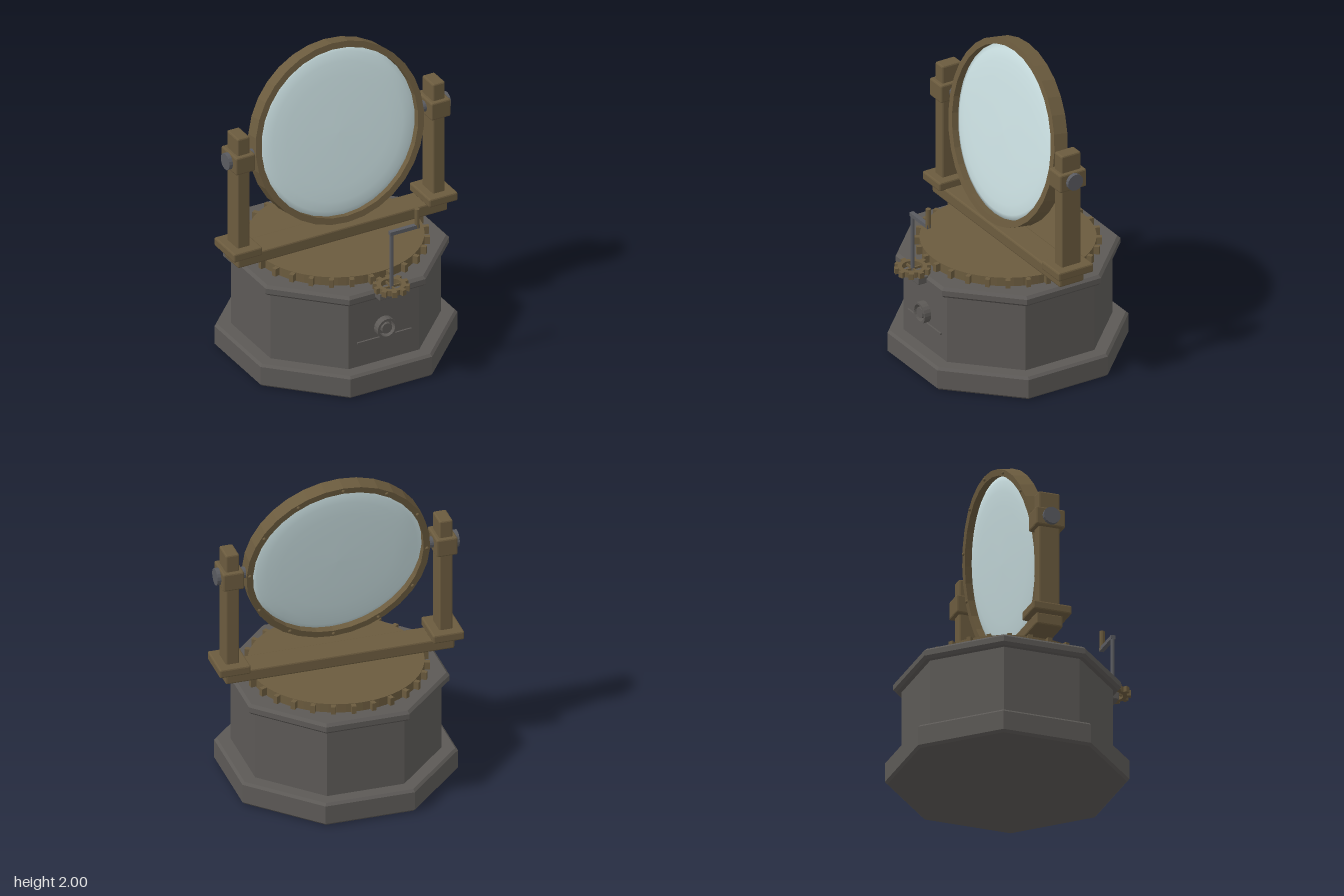
import * as THREE from 'three';
import { RoundedBoxGeometry } from 'three/addons/geometries/RoundedBoxGeometry.js';

const CZ = -0.052; // z of the turning axis
const PIVOT_Y = 1.43;

export function createModel() {
  const mat = (name, color, flat = true) => {
    const m = new THREE.MeshStandardMaterial({ color });
    m.name = name;
    m.flatShading = flat;
    return m;
  };
  const stone = mat('stone', 0x5c5956);
  const bronze = mat('bronze', 0x6b5b3e);
  const steel = mat('steel', 0x5a5b60);
  const glass = mat('glass', 0xc9dee0, false);

  const model = new THREE.Group();
  model.name = 'swivelMirror';
  const add = (name, geo, material, x = 0, y = 0, z = 0, parent = model) => {
    const mesh = new THREE.Mesh(geo, material);
    mesh.name = name;
    mesh.position.set(x, y, z);
    parent.add(mesh);
    return mesh;
  };
  const lathe = (pts, sides, start = 0) =>
    new THREE.LatheGeometry(pts.map(p => new THREE.Vector2(p[0], p[1])), sides, start);
  const box = (w, h, d, r = 0.01) => new RoundedBoxGeometry(w, h, d, 1, r);

  // Octagonal pedestal, chamfered top and bottom edges
  const octagon = (name, apothem, y0, y1, b) => {
    const k = 1 / Math.cos(Math.PI / 8), r = apothem * k, s = (apothem - b) * k;
    add(name, lathe([[0, y0], [s, y0], [r, y0 + b], [r, y1 - b], [s, y1], [0, y1]], 8, Math.PI / 8),
      stone, 0, 0, CZ);
  };
  octagon('plinth', 0.673, 0, 0.15, 0.015);
  octagon('pedestalBody', 0.582, 0.14, 0.61, 0.005);
  octagon('pedestalCap', 0.627, 0.6, 0.668, 0.017);

  // Plain raised medallion and bar on the front
  const ring = (outer, inner, depth, sides) =>
    lathe([[outer, -depth / 2], [outer, depth / 2], [inner, depth / 2], [inner, -depth / 2], [outer, -depth / 2]], sides);
  add('medallionRim', ring(0.067, 0.052, 0.05, 20).rotateX(Math.PI / 2), stone, 0, 0.383, 0.55);
  add('medallionCore', new THREE.CylinderGeometry(0.035, 0.035, 0.05, 10).rotateX(Math.PI / 2), stone, 0, 0.383, 0.545);
  add('medallionBar', new THREE.BoxGeometry(0.37, 0.01, 0.016), stone, 0, 0.313, 0.533);

  // Large toothed turntable
  add('turntable', new THREE.CylinderGeometry(0.527, 0.527, 0.057, 64), bronze, 0, 0.6965, CZ);
  const toothRing = (name, count, r0, r1, width, height, y, z, offset) => {
    const g = new THREE.Group();
    g.name = name;
    g.position.set(0, y, z);
    for (let i = 0; i < count; i++) {
      const a = ((i + offset) / count) * Math.PI * 2, r = (r0 + r1) / 2;
      const t = add('tooth', new THREE.BoxGeometry(width, height, r1 - r0), bronze,
        Math.sin(a) * r, 0, Math.cos(a) * r, g);
      t.rotation.y = a;
    }
    model.add(g);
  };
  toothRing('turntableTeeth', 28, 0.51, 0.56, 0.028, 0.05, 0.697, CZ, 0.5);

  // Yoke: crossbeam and two posts with bearings
  add('crossbeam', box(1.43, 0.078, 0.17), bronze, 0, 0.762, CZ);
  for (const s of [1, -1]) {
    const side = new THREE.Group();
    side.name = s > 0 ? 'leftPost' : 'rightPost';
    model.add(side);
    add('foot', box(0.195, 0.057, 0.246), bronze, s * 0.667, 0.823, CZ, side);
    add('post', box(0.084, 0.78, 0.135), bronze, s * 0.667, 1.21, CZ, side);
    add('bearingBlock', box(0.132, 0.118, 0.185), bronze, s * 0.667, 1.428, CZ, side);
    const axle = new THREE.CylinderGeometry(0.035, 0.035, 0.2, 16).rotateZ(Math.PI / 2);
    add('axle', axle, steel, s * 0.65, PIVOT_Y, CZ, side);
    const cap = new THREE.CylinderGeometry(0.053, 0.053, 0.04, 16).rotateZ(Math.PI / 2);
    add('axleCap', cap, steel, s * 0.737, PIVOT_Y, CZ, side);
  }

  // Tilted mirror: faceted rim, domed glass, rivets behind
  const mirror = new THREE.Group();
  mirror.name = 'mirror';
  mirror.position.set(0, PIVOT_Y, CZ);
  mirror.rotation.x = -10 * Math.PI / 180;
  model.add(mirror);
  add('rim', ring(0.573, 0.533, 0.095, 32).rotateX(Math.PI / 2), bronze, 0, 0, 0, mirror);
  const dome = [[0, 0.036], [0.2, 0.034], [0.35, 0.03], [0.44, 0.025], [0.5, 0.016], [0.54, 0]];
  const lens = [...dome.map(([r, y]) => [r, -y]), ...dome.slice(0, -1).reverse()];
  add('lens', lathe(lens, 64).rotateX(Math.PI / 2), glass, 0, 0, 0, mirror);
  for (let i = 0; i < 12; i++) {
    const a = (i / 12) * Math.PI * 2;
    add('rivet', new THREE.SphereGeometry(0.011, 8, 6), bronze,
      Math.sin(a) * 0.553, Math.cos(a) * 0.553, -0.0475, mirror);
  }

  // Hand crank with pinion
  const KZ = 0.62;
  add('crankBracket', box(0.17, 0.047, 0.075, 0.005), stone, 0, 0.647, 0.593);
  add('pinion', ring(0.088, 0.062, 0.036, 32), bronze, 0, 0.697, KZ);
  toothRing('pinionTeeth', 10, 0.082, 0.11, 0.03, 0.036, 0.697, KZ, 0.5);
  add('spokeAcross', new THREE.BoxGeometry(0.13, 0.014, 0.01), bronze, 0, 0.697, KZ);
  add('spokeAlong', new THREE.BoxGeometry(0.01, 0.014, 0.13), bronze, 0, 0.697, KZ);
  add('crankShaft', new THREE.CylinderGeometry(0.012, 0.012, 0.42, 12), steel, 0, 0.865, KZ);
  add('crankArm', new THREE.BoxGeometry(0.2, 0.024, 0.028), steel, 0.088, 1.064, KZ);
  add('crankHandle', new THREE.CylinderGeometry(0.016, 0.016, 0.125, 12), bronze, 0.176, 1.118, KZ);

  return model;
}
